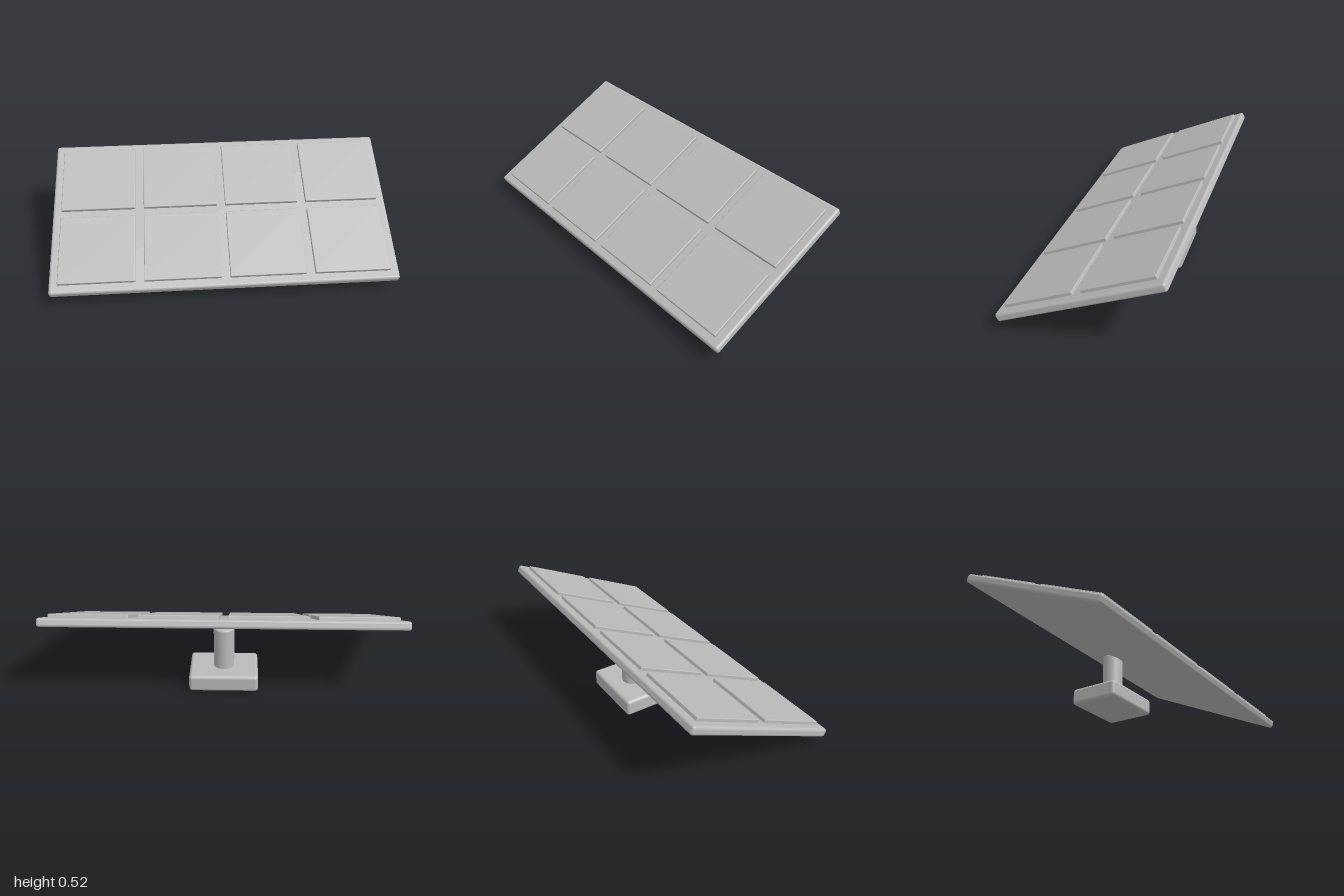
import * as THREE from 'three';
import { RoundedBoxGeometry } from 'three/addons/geometries/RoundedBoxGeometry.js';

export function createModel() {
  const model = new THREE.Group();
  model.name = 'solarPanel';
  const grey = new THREE.MeshStandardMaterial({ color: 0xbababa });
  grey.name = 'matteGrey';

  function add(parent, name, geometry, x, y, z) {
    const mesh = new THREE.Mesh(geometry, grey);
    mesh.name = name;
    mesh.position.set(x, y, z);
    parent.add(mesh);
    return mesh;
  }

  // Foot block
  add(model, 'base', new RoundedBoxGeometry(0.4, 0.1, 0.3, 4, 0.02), 0, 0.05, -0.18);

  // Round post with a softened top rim
  const r = 0.06, top = 0.35, bevel = 0.01;
  const profile = [new THREE.Vector2(0, 0.08), new THREE.Vector2(r, 0.08), new THREE.Vector2(r, 0.082), new THREE.Vector2(r, top - bevel - 0.002)];
  for (let i = 0; i <= 4; i++) {
    const a = (i / 4) * Math.PI / 2;
    profile.push(new THREE.Vector2(r - bevel + bevel * Math.cos(a), top - bevel + bevel * Math.sin(a)));
  }
  profile.push(new THREE.Vector2(0, top));
  add(model, 'post', new THREE.LatheGeometry(profile, 40), 0, 0, -0.18);

  // Tilted panel, low at the front
  const panel = new THREE.Group();
  panel.name = 'tiltedPanel';
  panel.position.y = 0.2925;
  panel.rotation.x = THREE.MathUtils.degToRad(25);
  model.add(panel);
  add(panel, 'backingBoard', new RoundedBoxGeometry(2, 0.05, 1, 4, 0.015), 0, 0, 0);

  // Raised cells, four columns by two rows
  const cols = 4, rows = 2, gap = 0.05;
  const w = (1.9 - gap * (cols - 1)) / cols;
  const d = (0.9 - gap * (rows - 1)) / rows;
  const cell = new RoundedBoxGeometry(w, 0.03, d, 3, 0.005);
  for (let i = 0; i < cols; i++) {
    for (let j = 0; j < rows; j++) {
      add(panel, 'cell', cell, (i - (cols - 1) / 2) * (w + gap), 0.03, (j - (rows - 1) / 2) * (d + gap));
    }
  }
  return model;
}
